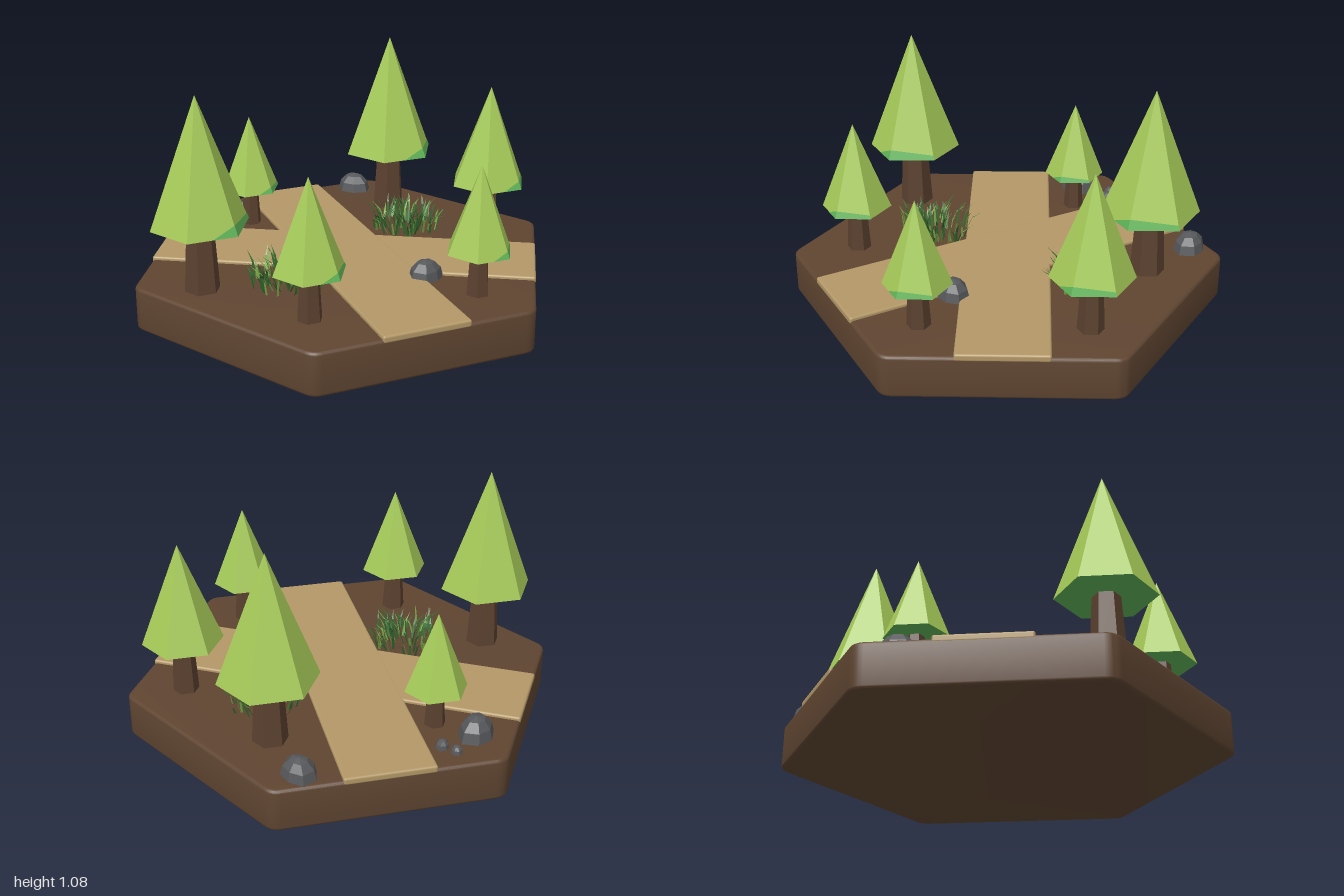
import * as THREE from 'three';
import { mergeGeometries, toCreasedNormals } from 'three/addons/utils/BufferGeometryUtils.js';
import { RoundedBoxGeometry } from 'three/addons/geometries/RoundedBoxGeometry.js';

const mat = (name, color, extra = {}) =>
  Object.assign(new THREE.MeshStandardMaterial({ color, ...extra }), { name });
const GROUND = 0.2;

function random(seed) {
  return () => (seed = (seed * 16807) % 2147483647) / 2147483647;
}

function flat(geometry) {
  const g = geometry.index ? geometry.toNonIndexed() : geometry;
  g.computeVertexNormals();
  return g;
}

function triangles(points) {
  const g = new THREE.BufferGeometry();
  g.setAttribute('position', new THREE.Float32BufferAttribute(points.flat(), 3));
  g.computeVertexNormals();
  return g;
}

function add(parent, name, geometry, material, x = 0, y = 0, z = 0) {
  const mesh = new THREE.Mesh(geometry, material);
  mesh.name = name;
  mesh.position.set(x, y, z);
  parent.add(mesh);
  return mesh;
}

// Hexagonal slab with softened corners and rims
function slabGeometry() {
  const bevel = 0.015, R = 1.005 - bevel / Math.cos(Math.PI / 6);
  const corner = (i) => new THREE.Vector2(Math.cos(i * Math.PI / 3), Math.sin(i * Math.PI / 3)).multiplyScalar(R);
  const shape = new THREE.Shape();
  for (let i = 0; i < 6; i++) {
    const c = corner(i);
    const a = c.clone().lerp(corner(i + 5), 0.035), b = c.clone().lerp(corner(i + 1), 0.035);
    if (i) shape.lineTo(a.x, a.y);
    else shape.moveTo(a.x, a.y);
    shape.quadraticCurveTo(c.x, c.y, b.x, b.y);
  }
  shape.closePath();
  const g = new THREE.ExtrudeGeometry(shape, {
    depth: GROUND - 2 * bevel, bevelSize: bevel, bevelThickness: bevel, bevelSegments: 4, curveSegments: 5,
  });
  g.rotateX(-Math.PI / 2).translate(0, bevel, 0);
  return toCreasedNormals(g, 0.6);
}

// Lumpy faceted boulder, half sunk in the soil
function rockGeometry(r, h, seed) {
  const g = new THREE.SphereGeometry(1, 7, 6);
  const p = g.attributes.position;
  for (let i = 0; i < p.count; i++) {
    const a = Math.atan2(p.getZ(i), p.getX(i));
    const k = 0.95 + 0.07 * Math.sin(2 * a + seed) + 0.04 * Math.cos(3 * a - seed);
    p.setXYZ(i, p.getX(i) * r * k, p.getY(i) * h, p.getZ(i) * r * k * 0.92);
  }
  return flat(g).rotateY(seed);
}

// Arched tapering blade of grass
function bladeGeometry(rand) {
  const h = 0.07 + rand() * 0.055, w = 0.006, lean = 0.02 + rand() * 0.06;
  const m = lean * 0.35, y = h * 0.65;
  const g = triangles([
    [-w, 0, 0], [w, 0, 0], [w * 0.8, y, m],
    [-w, 0, 0], [w * 0.8, y, m], [-w * 0.8, y, m],
    [-w * 0.8, y, m], [w * 0.8, y, m], [0, h, lean],
  ]);
  const a = rand() * Math.PI * 2, d = Math.sqrt(rand()) * 0.16;
  g.rotateY(a + (rand() - 0.5) * 2.5);
  return g.translate(Math.sin(a) * d, 0, Math.cos(a) * d);
}

export function createModel() {
  const model = new THREE.Group();
  model.name = 'forestTile';
  const soil = mat('soil brown', 0x5f4531);
  const sand = mat('path sand', 0xb39867);
  const leaf = mat('leaf green', 0xa5ca58);
  const under = mat('underside green', 0x60b458);
  const bark = mat('bark brown', 0x5b412f);
  const stone = mat('stone grey', 0x56585b);
  const darkGrass = mat('dark grass green', 0x35692f, { side: THREE.DoubleSide });
  const lightGrass = mat('light grass green', 0x7ba348, { side: THREE.DoubleSide });

  add(model, 'ground', slabGeometry(), soil);

  // Two crossing paths, running edge to edge
  const path = new RoundedBoxGeometry(0.4, 0.034, 1.742, 3, 0.01);
  add(model, 'straightPath', path, sand, 0, 0.199, 0);
  add(model, 'diagonalPath', path, sand, 0, 0.1985, 0).rotation.y = Math.PI / 3;

  // Trees: x, z, crown radius, crown base, crown top, trunk radius
  const trees = [
    [-0.728, 0.125, 0.218, 0.5, 1.075, 0.08],
    [0.433, -0.49, 0.222, 0.5, 1.075, 0.08],
    [0.733, 0.002, 0.183, 0.45, 0.92, 0.06],
    [-0.402, 0.577, 0.16, 0.415, 0.825, 0.056],
    [0.355, 0.622, 0.15, 0.4, 0.785, 0.054],
    [-0.285, -0.535, 0.141, 0.38, 0.74, 0.048],
  ];
  for (const [x, z, r, base, top, tr] of trees) {
    const tree = new THREE.Group();
    tree.name = 'tree';
    tree.position.set(x, 0, z);
    model.add(tree);
    const th = base - GROUND + 0.03, h = top - base;
    const trunk = new THREE.CylinderGeometry(tr * 0.74, tr, th, 6, 1, false, Math.PI / 6);
    add(tree, 'trunk', flat(trunk), bark, 0, GROUND - 0.01 + th / 2, 0);
    const crown = new THREE.ConeGeometry(r, h, 6, 1, false, Math.PI / 6);
    add(tree, 'crown', flat(crown), [leaf, leaf, under], 0, base + h / 2, 0);

    // Darker hem on two crown faces
    const on = (px, pz, t) => [px * r * (1 - t) * 1.01, t * h, pz * r * (1 - t) * 1.01];
    const c = Math.cos(Math.PI / 6);
    const a = on(0, c, 0), b = on(0.5, c, 0), b2 = on(0.5, c, 0.08), d = on(1, 0, 0), d2 = on(1, 0, 0.04);
    add(tree, 'crownHem', triangles([a, b, b2, b, d, d2, b, d2, b2]), under, 0, base, 0);
  }

  // Rocks: x, z, radius, height
  const rocks = [
    [-0.43, -0.665, 0.093, 0.1], [0.365, -0.775, 0.087, 0.086], [0.218, 0.39, 0.083, 0.087],
    [-0.31, -0.77, 0.03, 0.035], [-0.263, -0.72, 0.035, 0.04],
  ];
  rocks.forEach(([x, z, r, h], i) => add(model, 'rock', rockGeometry(r, h, i + 1), stone, x, GROUND, z));

  // Grass clumps in two greens
  [[-0.365, 0.2], [0.4, -0.2]].forEach(([x, z], i) => {
    const rand = random(41 + i * 97);
    for (const [name, material, count] of [['darkGrass', darkGrass, 75], ['lightGrass', lightGrass, 35]]) {
      const blades = Array.from({ length: count }, () => bladeGeometry(rand));
      add(model, name, mergeGeometries(blades), material, x, GROUND - 0.005, z);
    }
  });
  return model;
}
